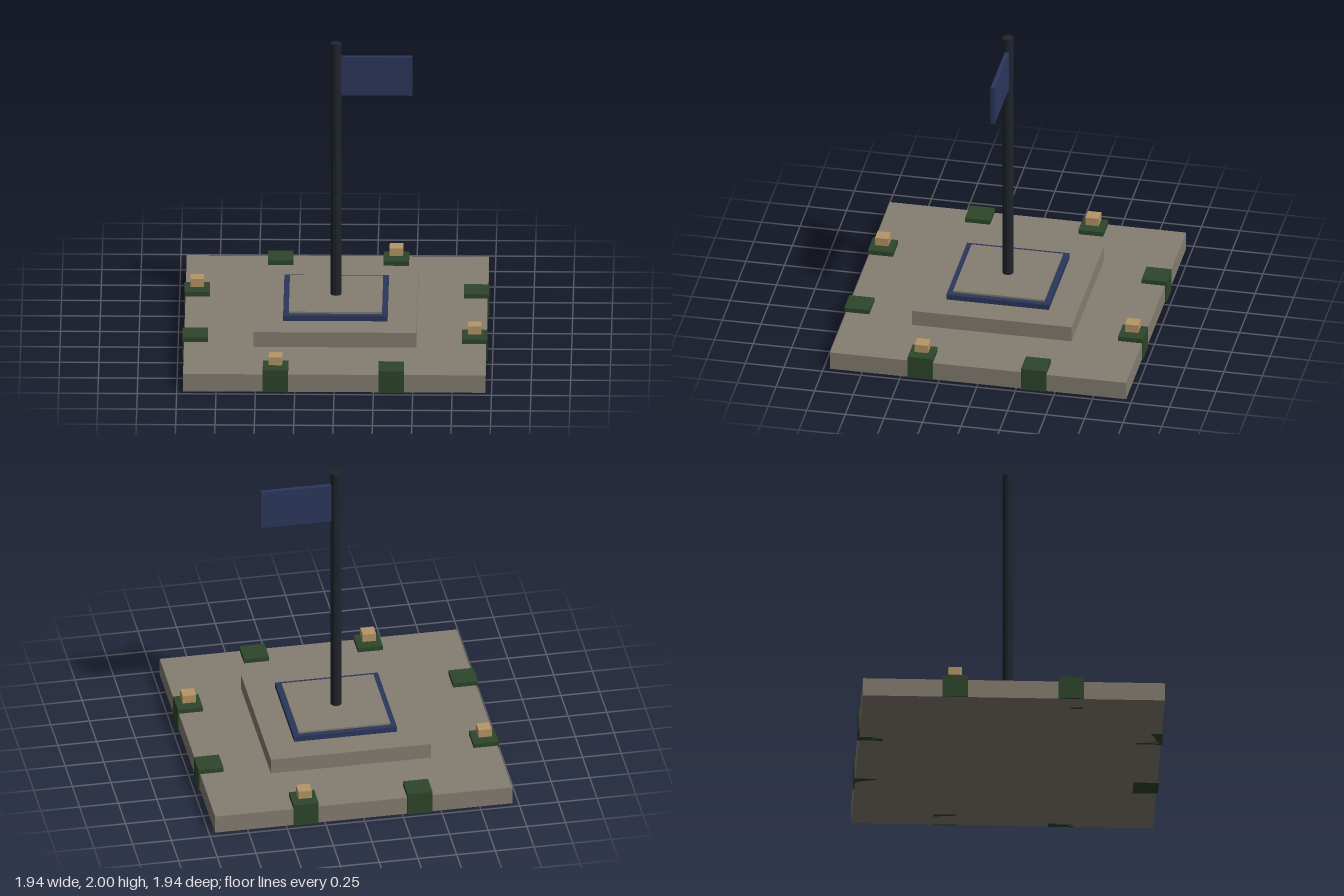
import * as THREE from 'three';

export function createModel() {
  const model = new THREE.Group();
  model.name = 'flagPlaza';
  const mat = (color) => new THREE.MeshStandardMaterial({ color, flatShading: true });
  const stone = mat(0x857e72), navy = mat(0x2b365c), green = mat(0x2e462a);
  const iron = mat(0x20242b), sand = mat(0xb59666);

  // Box given by its centre in x and z and its bottom and top heights
  function box(name, material, w, d, y0, y1, x = 0, z = 0, parent = model) {
    const mesh = new THREE.Mesh(new THREE.BoxGeometry(w, y1 - y0, d), material);
    mesh.name = name;
    mesh.position.set(x, (y0 + y1) / 2, z);
    parent.add(mesh);
    return mesh;
  }

  // Stepped plinth
  box('basePlatform', stone, 1.92, 1.92, 0, 0.12);
  box('upperStep', stone, 1.034, 1.034, 0.12, 0.222);
  box('trimSlab', navy, 0.664, 0.664, 0.222, 0.257);
  box('topSlab', stone, 0.592, 0.592, 0.257, 0.27);

  // Pole and flag
  const pole = new THREE.Mesh(new THREE.CylinderGeometry(0.036, 0.036, 1.74, 12), iron);
  pole.name = 'flagPole';
  pole.position.y = 1.13;
  model.add(pole);
  box('flag', navy, 0.463, 0.028, 1.645, 1.91, 0.255, 0);

  // Each edge carries one plain block and one block with a lamp above it
  for (let i = 0; i < 4; i++) {
    const side = new THREE.Group();
    side.name = 'edgeBlocks' + (i + 1);
    side.rotation.y = (i * Math.PI) / 2;
    box('plainBlock', green, 0.162, 0.162, 0, 0.15, 0.362, 0.89, side);
    box('lampBlock', green, 0.162, 0.162, 0, 0.15, -0.373, 0.886, side);
    box('lamp', sand, 0.086, 0.086, 0.17, 0.224, -0.373, 0.886, side);
    model.add(side);
  }
  return model;
}
